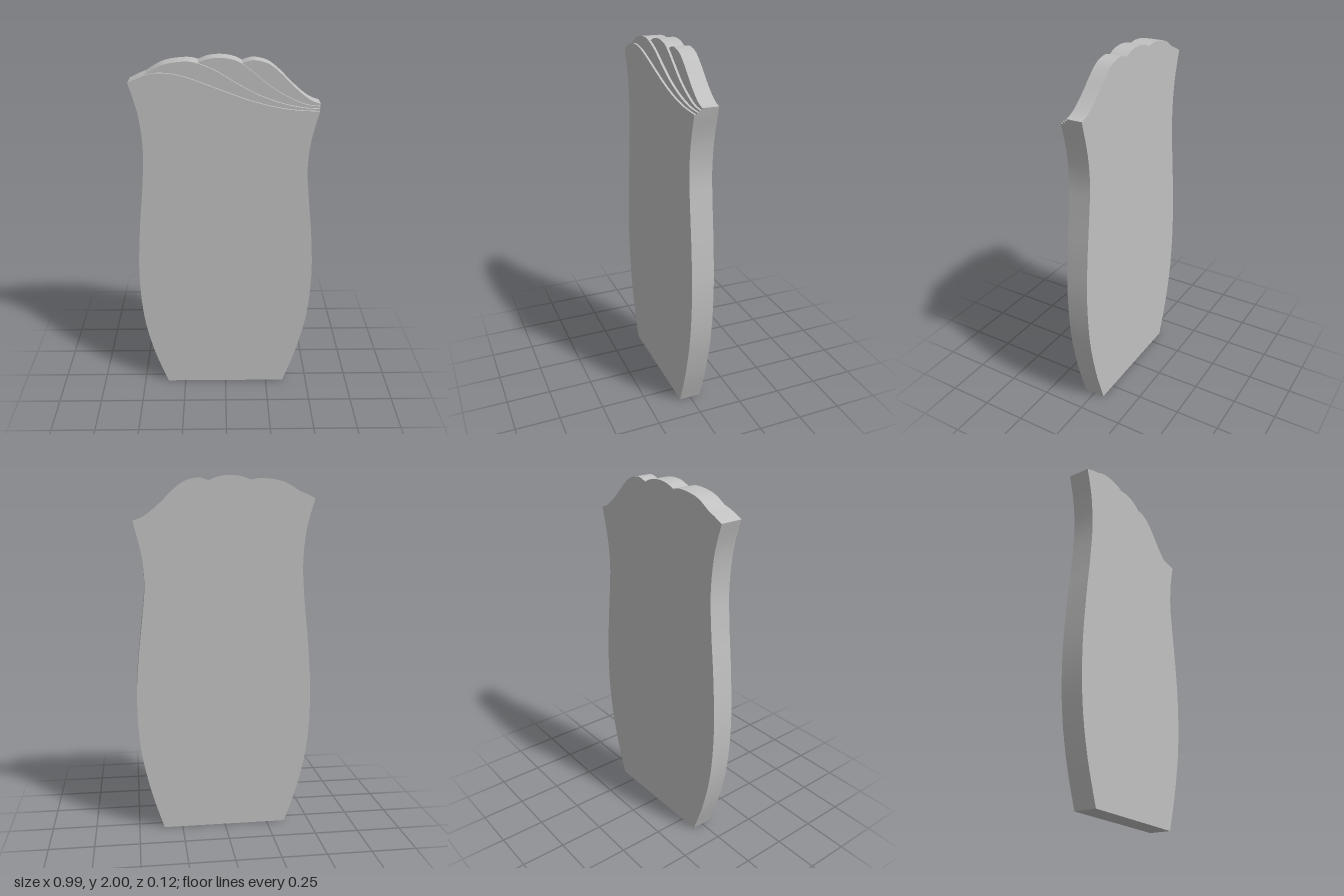
import * as THREE from 'three';
import { toCreasedNormals } from 'three/addons/utils/BufferGeometryUtils.js';

const spline = (pts, n = 40) =>
  new THREE.SplineCurve(pts.map(([x, y]) => new THREE.Vector2(x, y))).getPoints(n);

// Curved sides, from the base up (right) and from the top down (left)
const rightSide = spline([[0.355, 0], [0.425, 0.22], [0.48, 0.48], [0.497, 0.75], [0.483, 1.0],
  [0.455, 1.25], [0.44, 1.42], [0.453, 1.58], [0.488, 1.73]]);
const leftSide = spline([[-0.497, 1.88], [-0.454, 1.72], [-0.437, 1.53], [-0.45, 1.32],
  [-0.478, 1.06], [-0.497, 0.76], [-0.482, 0.47], [-0.43, 0.22], [-0.355, 0]]);

// Top edge of each overlapping wave, left to right, front wave first
const waves = [
  [[-0.497, 1.88], [-0.41, 1.918], [-0.33, 1.93], [-0.23, 1.916], [-0.12, 1.879], [0, 1.833],
    [0.12, 1.79], [0.24, 1.757], [0.36, 1.737], [0.488, 1.73]],
  [[-0.41, 1.918], [-0.32, 1.968], [-0.21, 1.985], [-0.14, 1.975], [-0.05, 1.938], [0.06, 1.872],
    [0.17, 1.814], [0.29, 1.77], [0.4, 1.746], [0.49, 1.74]],
  [[-0.14, 1.975], [-0.09, 1.994], [-0.03, 2], [0.03, 1.993], [0.085, 1.97], [0.17, 1.904],
    [0.26, 1.835], [0.36, 1.782], [0.43, 1.757], [0.492, 1.75]],
  [[0.085, 1.97], [0.12, 1.982], [0.155, 1.985], [0.22, 1.967], [0.28, 1.922], [0.34, 1.863],
    [0.4, 1.81], [0.45, 1.776], [0.495, 1.76]],
].map((pts) => spline(pts));

// Front face of each layer, stepping back from the first
const fronts = [0.062, 0.05, 0.037, 0.025, -0.062];
const names = ['frontPanel', 'secondWave', 'thirdWave', 'backSlab'];

// Silhouette of a layer: each wave runs until the next one rises out of it
function layerShape(last) {
  const top = [];
  for (let i = 0; i <= last; i++) {
    const end = i < last ? waves[i + 1][0].x - 1e-4 : Infinity;
    top.push(...waves[i].filter((p) => p.x < end));
  }
  const right = last === 0 ? rightSide.slice(0, -1) : rightSide;
  return new THREE.Shape([...right, ...top.reverse(), ...leftSide.slice(1)]);
}

export function createModel() {
  const group = new THREE.Group();
  group.name = 'waveToppedTablet';
  const stone = new THREE.MeshStandardMaterial({ color: 0xc0c0c0 });
  stone.name = 'light grey stone';

  names.forEach((name, i) => {
    const geo = new THREE.ExtrudeGeometry(layerShape(i), {
      depth: fronts[i] - fronts[i + 1], bevelEnabled: false,
    });
    geo.translate(0, 0, fronts[i + 1]);
    const mesh = new THREE.Mesh(toCreasedNormals(geo, 0.35), stone);
    mesh.name = name;
    group.add(mesh);
  });
  return group;
}
